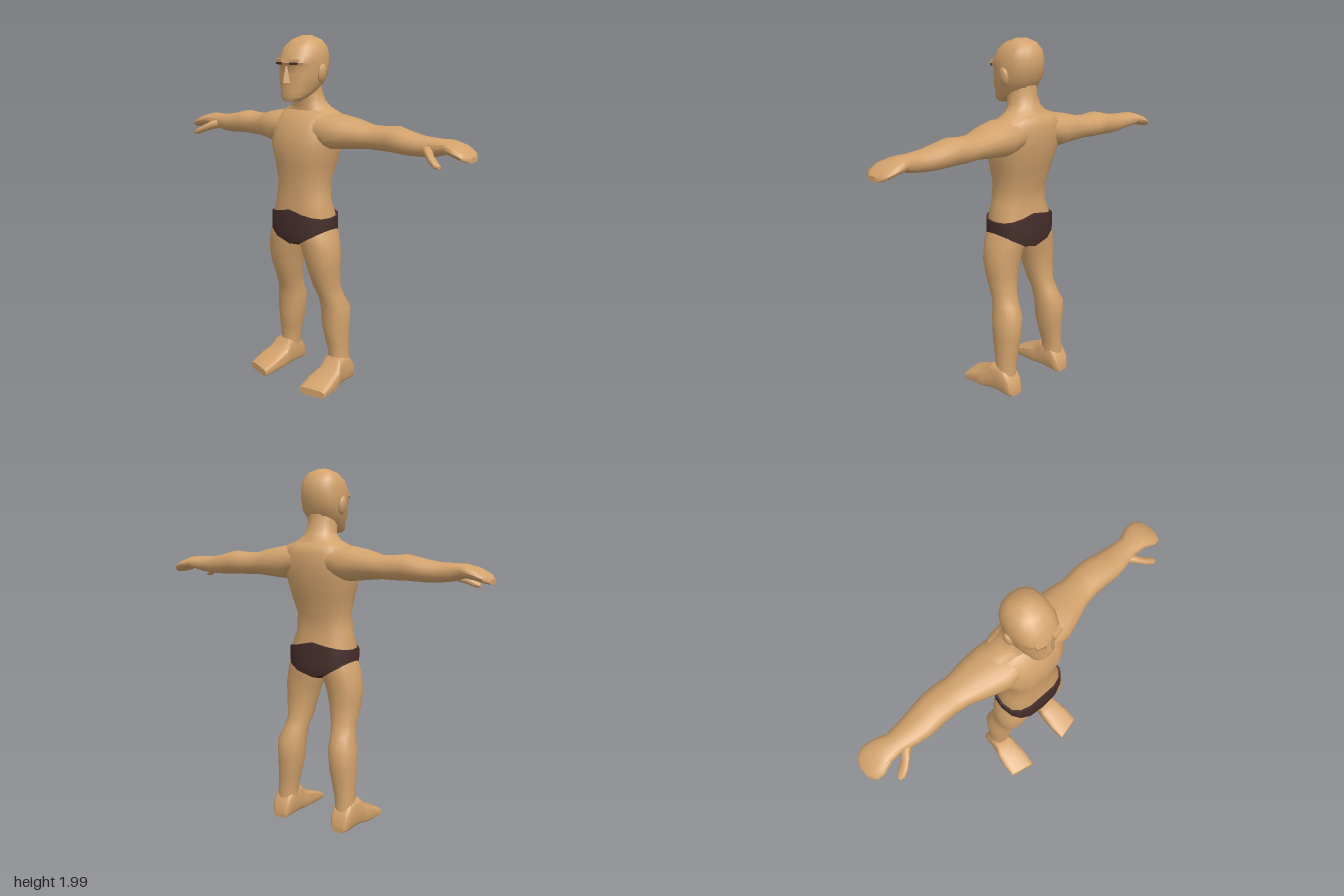
import * as THREE from 'three';
import { toCreasedNormals } from 'three/addons/utils/BufferGeometryUtils.js';

const skin = new THREE.MeshStandardMaterial({ color: 0xd2a26c });
skin.name = 'skin';
const dark = new THREE.MeshStandardMaterial({ color: 0x452e2b });
dark.name = 'dark brown';

const SEGMENTS = 16;

// Rounded outline between a0..a1 and b0..b1; power below 1 makes it boxier
function outline(a0, a1, b0, b1, power, place) {
  const spow = (v) => Math.sign(v) * Math.abs(v) ** power;
  return Array.from({ length: SEGMENTS }, (_, i) => {
    const t = (i / SEGMENTS) * Math.PI * 2;
    return place(
      (a0 + a1) / 2 + ((a1 - a0) / 2) * spow(Math.cos(t)),
      (b0 + b1) / 2 + ((b1 - b0) / 2) * spow(Math.sin(t)));
  });
}

// Skin a list of rings into a closed body facing outwards
function loft(rings, crease = 0.7) {
  const n = SEGMENTS, pts = rings.flat(), index = [];
  for (let r = 0; r < rings.length - 1; r++) {
    for (let i = 0; i < n; i++) {
      const a = r * n + i, b = r * n + ((i + 1) % n);
      index.push(a, b, a + n, b, b + n, a + n);
    }
  }
  for (const [start, flip] of [[0, true], [(rings.length - 1) * n, false]]) {
    const centre = [0, 1, 2].map((k) =>
      pts.slice(start, start + n).reduce((s, p) => s + p[k], 0) / n);
    const c = pts.push(centre) - 1;
    for (let i = 0; i < n; i++) {
      const a = start + i, b = start + ((i + 1) % n);
      index.push(c, ...(flip ? [b, a] : [a, b]));
    }
  }
  // A negative volume means the faces point inwards
  const v = pts.map((p) => new THREE.Vector3(...p));
  let volume = 0;
  for (let i = 0; i < index.length; i += 3) {
    volume += v[index[i]].dot(v[index[i + 1]].clone().cross(v[index[i + 2]]));
  }
  if (volume < 0) index.reverse();
  const geo = new THREE.BufferGeometry();
  geo.setAttribute('position', new THREE.Float32BufferAttribute(pts.flat(), 3));
  geo.setIndex(index);
  return toCreasedNormals(geo, crease);
}

// Rows: [y, half width, back z, front z]
const upright = (rows, power) => loft(rows.map(([y, w, b, f]) =>
  outline(-w, w, b, f, power, (x, z) => [x, y, z])));

export function createModel() {
  const model = new THREE.Group();
  const add = (name, geo, material = skin) => {
    const mesh = new THREE.Mesh(geo, material);
    mesh.name = name;
    model.add(mesh);
    return mesh;
  };

  add('torso', upright([
    [0.93, 0.185, -0.135, 0.118], [1.02, 0.19, -0.13, 0.122],
    [1.1, 0.166, -0.11, 0.113], [1.2, 0.152, -0.125, 0.115],
    [1.3, 0.178, -0.155, 0.12], [1.4, 0.203, -0.18, 0.135],
    [1.47, 0.21, -0.19, 0.115], [1.54, 0.2, -0.19, 0.09],
    [1.575, 0.175, -0.178, 0.055], [1.6, 0.12, -0.15, 0.03],
  ], 0.76));

  add('neck', upright([
    [1.56, 0.24, -0.17, 0.035], [1.592, 0.17, -0.155, 0.035],
    [1.61, 0.125, -0.145, 0.035], [1.645, 0.088, -0.128, 0.045],
    [1.7, 0.08, -0.108, 0.06], [1.76, 0.08, -0.105, 0.06],
  ], 0.95));

  add('head', upright([
    [1.648, 0.04, 0.06, 0.135], [1.668, 0.07, 0.01, 0.142],
    [1.7, 0.085, -0.06, 0.139], [1.74, 0.105, -0.1, 0.137],
    [1.79, 0.117, -0.128, 0.134], [1.835, 0.12, -0.137, 0.134],
    [1.85, 0.12, -0.139, 0.145], [1.885, 0.117, -0.14, 0.132],
    [1.93, 0.106, -0.128, 0.105], [1.968, 0.077, -0.098, 0.06],
    [1.99, 0.03, -0.045, 0.0],
  ], 0.82));

  // Wedge nose
  const nose = add('nose', toCreasedNormals(new THREE.CylinderGeometry(0.006, 0.026, 0.085, 4), 0.4));
  nose.position.set(0, 1.79, 0.139);

  // Briefs: the waist dips at the sides and the leg openings rise to the hips
  const briefs = [];
  for (let k = 0; k <= 4; k++) {
    const t = k / 4;
    briefs.push(outline(-0.201, 0.201, -0.15, 0.136, 0.76, (x, z) => {
      const u = Math.abs(x) / 0.201;
      const top = 1.01 + 0.042 * (1 - u), bottom = 0.855 + 0.093 * u ** 1.7;
      const y = top + (bottom - top) * t;
      const shrink = 1 - 0.09 * Math.max(0, (0.9 - y) / 0.05) - 0.6 * Math.max(0, y - 1.01);
      return [x * (1 - 0.25 * Math.max(0, y - 1.0)), y, z * shrink];
    }));
  }
  briefs.push(outline(-0.045, 0.045, -0.09, 0.085, 0.9, (x, z) => [x, 0.842, z]));
  add('briefs', loft(briefs, 0.9), dark);

  for (const [side, s] of [['left', 1], ['right', -1]]) {
    // Arm and hand, rows: [x, low y, high y, back z, front z]
    const alongX = (rows, power) => loft(rows.map(([x, y0, y1, z0, z1]) =>
      outline(y0, y1, z0, z1, power, (y, z) => [s * x, y, z])));
    add(side + 'Arm', alongX([
      [0.1, 1.42, 1.58, -0.178, 0.08], [0.2, 1.392, 1.582, -0.19, 0.086],
      [0.3, 1.402, 1.564, -0.185, 0.052], [0.4, 1.412, 1.537, -0.175, 0.012],
      [0.48, 1.41, 1.538, -0.183, 0.0], [0.55, 1.41, 1.545, -0.182, 0.0],
      [0.65, 1.405, 1.522, -0.17, 0.0], [0.72, 1.407, 1.51, -0.16, -0.012],
      [0.8, 1.415, 1.506, -0.15, -0.03], [0.87, 1.435, 1.505, -0.175, -0.022],
      [0.93, 1.425, 1.486, -0.186, -0.003], [0.975, 1.412, 1.462, -0.17, -0.012],
      [1.0, 1.408, 1.435, -0.13, -0.045],
    ], 0.88));
    add(side + 'Thumb', alongX([
      [0.75, 1.43, 1.48, -0.09, -0.025], [0.79, 1.415, 1.47, -0.07, 0.012],
      [0.83, 1.4, 1.443, -0.015, 0.042], [0.87, 1.382, 1.418, 0.008, 0.06],
      [0.895, 1.381, 1.4, 0.025, 0.052],
    ], 0.9));

    // Leg, rows: [y, inner x, outer x, back z, front z]
    add(side + 'Leg', loft([
      [0.96, 0.01, 0.188, -0.125, 0.105], [0.9, 0.005, 0.211, -0.126, 0.114],
      [0.85, 0.01, 0.226, -0.118, 0.108], [0.78, 0.036, 0.236, -0.11, 0.1],
      [0.7, 0.056, 0.231, -0.105, 0.083], [0.6, 0.077, 0.219, -0.11, 0.05],
      [0.53, 0.091, 0.226, -0.138, 0.018], [0.46, 0.092, 0.251, -0.173, 0.003],
      [0.35, 0.1, 0.25, -0.17, -0.002], [0.25, 0.121, 0.248, -0.16, -0.018],
      [0.18, 0.137, 0.247, -0.155, -0.033], [0.1, 0.14, 0.255, -0.16, -0.02],
    ].map(([y, x0, x1, z0, z1]) =>
      outline(x0, x1, z0, z1, 0.88, (x, z) => [s * x, y, z]))));

    // Foot, rows: [z, inner x, outer x, top y, toe slant]
    add(side + 'Foot', loft([
      [-0.186, 0.16, 0.235, 0.04, 0], [-0.168, 0.145, 0.252, 0.1, 0],
      [-0.13, 0.14, 0.258, 0.15, 0], [-0.08, 0.138, 0.262, 0.17, 0],
      [-0.03, 0.136, 0.268, 0.165, 0], [0.01, 0.13, 0.285, 0.112, 0],
      [0.08, 0.126, 0.296, 0.088, 0.1], [0.174, 0.135, 0.296, 0.045, 0.23],
    ].map(([z, x0, x1, top, slant]) =>
      outline(x0, x1, 0, top, 0.5, (x, y) => [s * x, y, z - (x - 0.22) * slant]))));

    // Ear
    const ear = add(side + 'Ear', new THREE.SphereGeometry(1, 10, 8));
    ear.scale.set(0.018, 0.05, 0.032);
    ear.position.set(s * 0.119, 1.795, -0.012);
    ear.rotation.z = -s * 0.15;

    // Brow ridge and thin eye plate
    const brow = add(side + 'Brow', new THREE.BoxGeometry(0.06, 0.014, 0.03));
    brow.position.set(s * 0.047, 1.862, 0.136);
    brow.rotation.y = s * 0.25;
    const eye = add(side + 'Eye', new THREE.BoxGeometry(0.045, 0.012, 0.008), dark);
    eye.position.set(s * 0.052, 1.847, 0.142);
    eye.rotation.y = s * 0.25;
  }
  return model;
}
